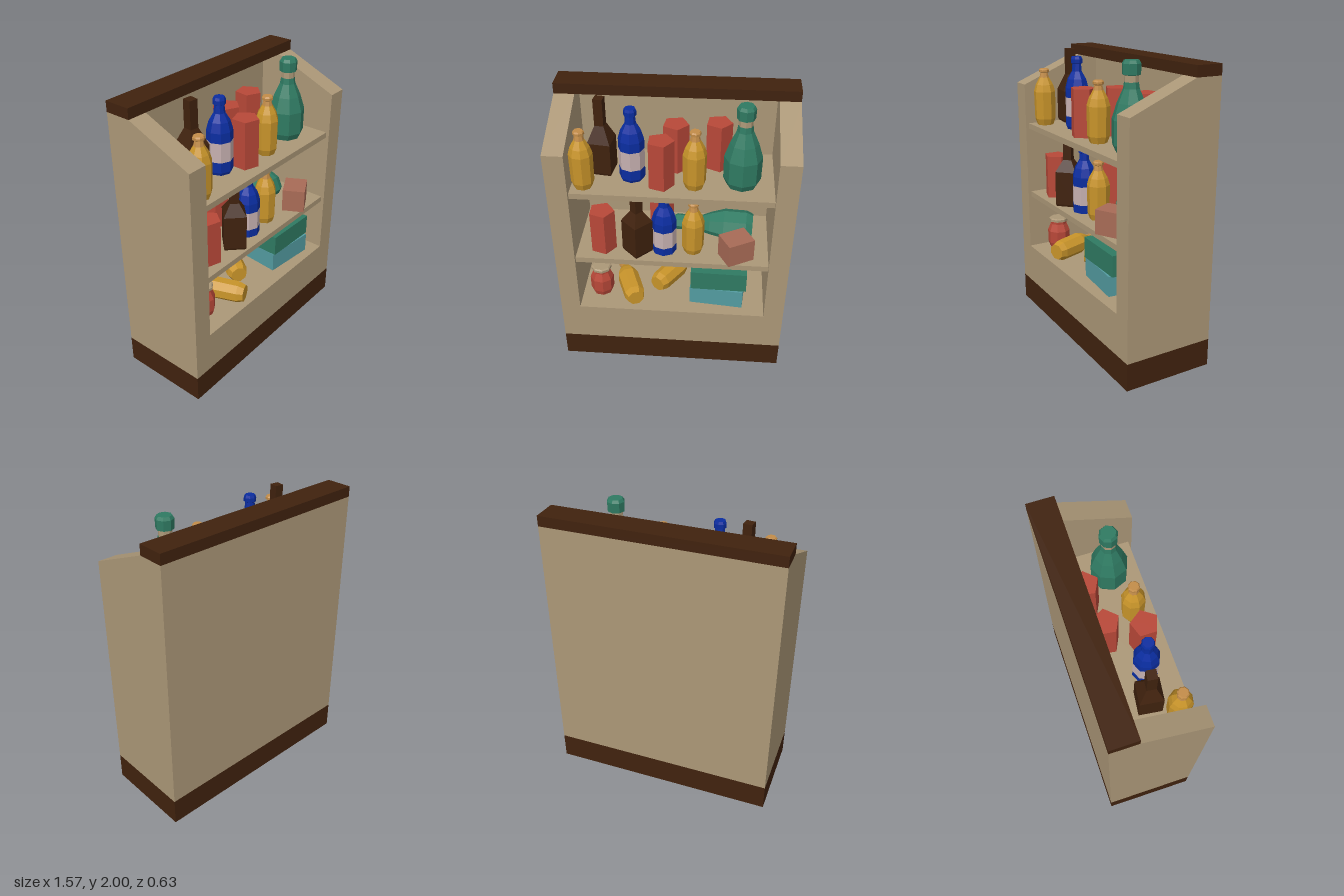
import * as THREE from 'three';

const mat = (name, color) => {
  const m = new THREE.MeshStandardMaterial({ color });
  m.name = name;
  return m;
};

export function createModel() {
  const M = {
    wood: mat('tan wood', 0xab9777),
    dark: mat('dark brown', 0x40220e),
    gold: mat('gold glass', 0xc8942a),
    amber: mat('amber neck', 0xc28c48),
    blue: mat('blue glass', 0x0a2da0),
    label: mat('pale label', 0xc6b0b0),
    red: mat('red', 0xb84838),
    green: mat('green glass', 0x2f7a62),
    clay: mat('clay', 0xa86b56),
    teal: mat('teal', 0x539ba0),
  };
  const root = new THREE.Group();
  root.name = 'stockedCabinet';

  const add = (parent, name, geo, material, x = 0, y = 0, z = 0) => {
    const mesh = new THREE.Mesh(geo, material);
    mesh.name = name;
    mesh.position.set(x, y, z);
    parent.add(mesh);
    return mesh;
  };
  // Box given by its extents
  const block = (name, material, x0, x1, y0, y1, z0, z1) =>
    add(root, name, new THREE.BoxGeometry(x1 - x0, y1 - y0, z1 - z0), material,
      (x0 + x1) / 2, (y0 + y1) / 2, (z0 + z1) / 2);

  // Faceted lathe with hard edges
  const facet = (points, sides) => {
    const g = new THREE.LatheGeometry(points.map(([r, y]) => new THREE.Vector2(r, y)), sides).toNonIndexed();
    g.computeVertexNormals();
    return g;
  };
  // A vessel made of stacked coloured sections: [name, material, profile]
  const vessel = (name, sides, sections, pos, turn = 0) => {
    const g = new THREE.Group();
    g.name = name;
    for (const [part, material, profile] of sections) add(g, part, facet(profile, sides), material);
    g.position.set(...pos);
    g.rotation.y = turn;
    root.add(g);
    return g;
  };
  // Tip a vessel over so its neck points along dir
  const lay = (g, dir) => g.quaternion.setFromUnitVectors(
    new THREE.Vector3(0, 1, 0), new THREE.Vector3(...dir).normalize());

  // Cabinet
  block('plinth', M.dark, -0.785, 0.785, 0, 0.19, -0.315, 0.315);
  block('lowerPanel', M.wood, -0.65, 0.65, 0.19, 0.48, -0.315, 0.315);
  block('backPanel', M.wood, -0.65, 0.65, 0.48, 1.92, -0.315, -0.275);
  block('topBoard', M.dark, -0.785, 0.785, 1.92, 1.99, -0.315, -0.135);
  for (const [y0, y1] of [[0.88, 0.92], [1.405, 1.445]])
    block('shelf', M.wood, -0.65, 0.65, y0, y1, -0.275, 0.292);

  // Side walls with sloping top: shape x becomes -z after turning
  const side = new THREE.Shape([[-0.315, 0.19], [0.315, 0.19], [0.315, 1.92], [0.135, 1.92], [-0.315, 1.73]]
    .map(([x, y]) => new THREE.Vector2(x, y)));
  const sideGeo = new THREE.ExtrudeGeometry(side, { depth: 0.135, bevelEnabled: false });
  sideGeo.rotateY(Math.PI / 2);
  add(root, 'leftSide', sideGeo, M.wood, 0.65);
  add(root, 'rightSide', sideGeo, M.wood, -0.785);

  // Vessel designs
  const goldBottle = [
    ['body', M.gold, [[0, 0], [0.058, 0], [0.074, 0.045], [0.077, 0.24], [0.062, 0.29], [0.034, 0.34]]],
    ['neck', M.amber, [[0.034, 0.34], [0.026, 0.372], [0.037, 0.378], [0.037, 0.393], [0.03, 0.402], [0, 0.402]]],
  ];
  const blueBottle = [
    ['base', M.blue, [[0, 0], [0.075, 0], [0.084, 0.02], [0.084, 0.09]]],
    ['label', M.label, [[0.084, 0.09], [0.084, 0.22]]],
    ['top', M.blue, [[0.084, 0.22], [0.083, 0.285], [0.066, 0.345], [0.036, 0.395], [0.031, 0.445],
      [0.041, 0.45], [0.041, 0.478], [0.034, 0.495], [0, 0.495]]],
  ];
  const greenBottle = [
    ['body', M.green, [[0, 0], [0.1, 0], [0.121, 0.045], [0.122, 0.2], [0.09, 0.3], [0.052, 0.385], [0.046, 0.425]]],
    ['band', M.wood, [[0.046, 0.425], [0.044, 0.465]]],
    ['cap', M.green, [[0.044, 0.465], [0.058, 0.47], [0.06, 0.535], [0.048, 0.555], [0, 0.555]]],
  ];
  const brownBottle = [
    ['body', M.dark, [[0, 0], [0.098, 0], [0.105, 0.015], [0.105, 0.225], [0.042, 0.335], [0.042, 0.515], [0, 0.515]]],
  ];
  const shortBrownBottle = [
    ['body', M.dark, [[0, 0], [0.098, 0], [0.105, 0.015], [0.105, 0.25], [0.042, 0.33], [0.042, 0.45], [0, 0.45]]],
  ];
  const jar = [
    ['body', M.red, [[0, 0], [0.07, 0], [0.083, 0.04], [0.083, 0.13], [0.06, 0.185], [0.06, 0.205]]],
    ['lid', M.wood, [[0.06, 0.205], [0.072, 0.207], [0.072, 0.225], [0.062, 0.232], [0, 0.232]]],
  ];
  const carton = (h) => [['carton', M.red, [[0, 0], [0.089, 0], [0.089, h], [0, h]]]];

  // Top shelf
  vessel('goldBottle', 8, goldBottle, [-0.57, 1.445, 0.195], 0.2);
  vessel('brownBottle', 4, brownBottle, [-0.462, 1.475, 0.04], Math.PI / 4 - 0.13);
  vessel('blueBottle', 8, blueBottle, [-0.265, 1.46, 0.09]);
  vessel('goldBottle', 8, goldBottle, [0.138, 1.445, 0.148], 0.2);
  vessel('greenBottle', 8, greenBottle, [0.44, 1.445, 0.09]);
  for (const [x, z, turn] of [[-0.077, 0.143, 0], [0.003, -0.075, -0.13], [0.28, -0.115, -0.13]])
    vessel('redCarton', 5, carton(0.325), [x, 1.445, z], Math.PI / 2 + turn);

  // Middle shelf
  vessel('redCarton', 5, carton(0.31), [-0.475, 0.92, 0.16], Math.PI / 2);
  vessel('redCarton', 5, carton(0.31), [-0.1, 0.92, -0.09], Math.PI / 2);
  vessel('brownBottle', 4, shortBrownBottle, [-0.237, 0.921, 0.18]);
  vessel('blueBottle', 8, blueBottle, [-0.058, 0.888, 0.15]);
  vessel('goldBottle', 8, goldBottle, [0.137, 0.918, 0.15], 0.2);
  lay(vessel('lyingGreenBottle', 8, greenBottle, [0.545, 0.95, -0.09]), [-1, 0, -0.06]);
  const clayBox = add(root, 'clayBox', new THREE.BoxGeometry(0.19, 0.165, 0.156), M.clay, 0.43, 1.0025, 0.2);
  clayBox.rotation.y = 0.5;

  // Bottom compartment
  vessel('redJar', 8, jar, [-0.512, 0.498, 0.135], 0.2);
  lay(vessel('lyingGoldBottle', 8, goldBottle, [-0.25, 0.563, 0.285]), [-0.14, 0, -0.375]);
  lay(vessel('lyingGoldBottle', 8, goldBottle, [-0.115, 0.563, 0.125]), [0.215, 0, -0.335]);
  const tealBox = add(root, 'tealBox', new THREE.BoxGeometry(0.37, 0.14, 0.27), M.teal, 0.322, 0.589, 0.128);
  tealBox.rotation.y = -0.09;
  const greenBox = add(root, 'greenBox', new THREE.BoxGeometry(0.385, 0.146, 0.27), M.green, 0.326, 0.732, 0.125);
  greenBox.rotation.y = -0.02;

  return root;
}
